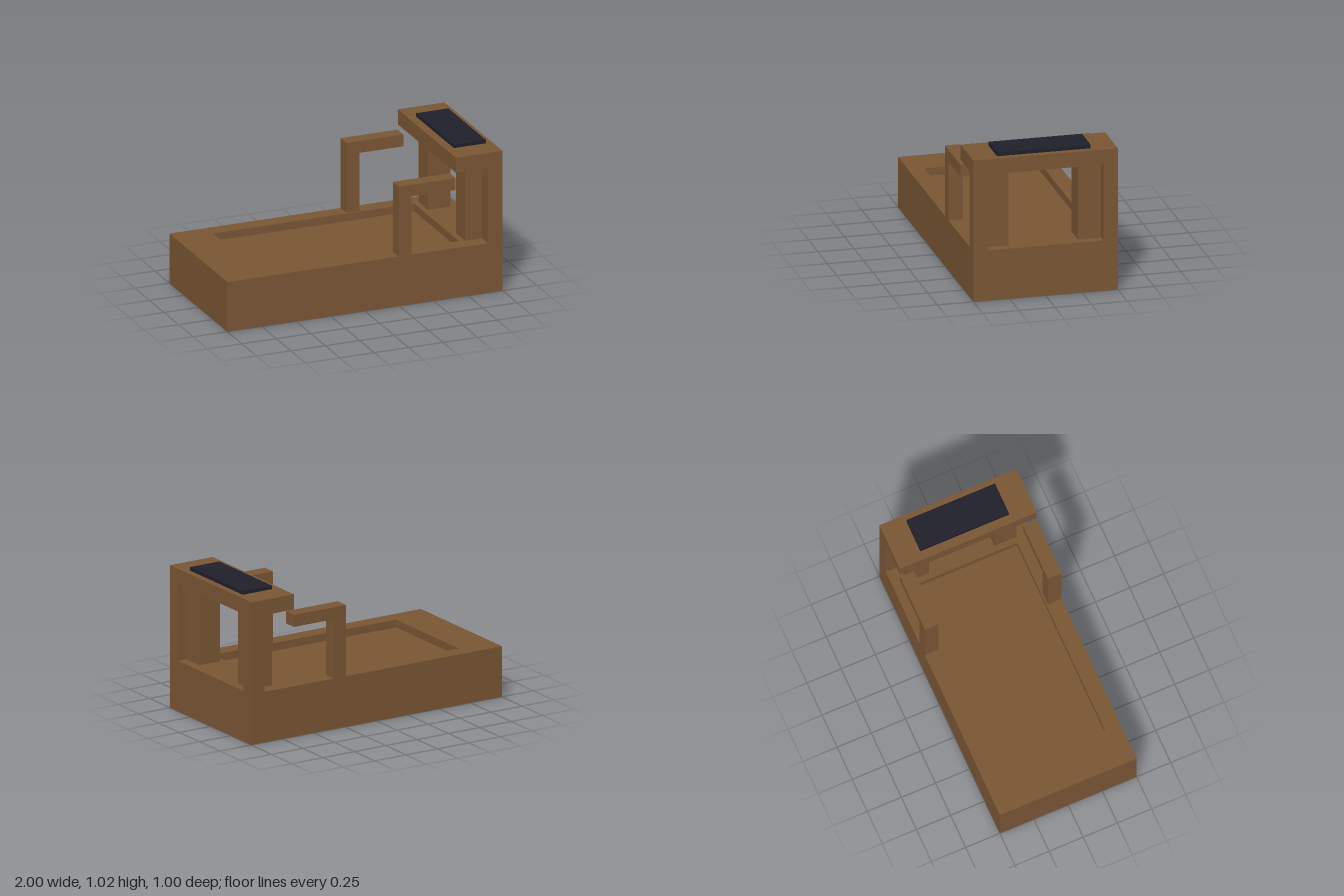
import * as THREE from 'three';

export function createModel() {
  const model = new THREE.Group();
  const wood = new THREE.MeshStandardMaterial({ color: 0x7b5735 });
  wood.name = 'brown wood';
  const pad = new THREE.MeshStandardMaterial({ color: 0x20202c });
  pad.name = 'dark pad';

  // Box given by its limits on each axis
  function block(name, [x0, x1], [y0, y1], [z0, z1], material = wood) {
    const mesh = new THREE.Mesh(new THREE.BoxGeometry(x1 - x0, y1 - y0, z1 - z0), material);
    mesh.position.set((x0 + x1) / 2, (y0 + y1) / 2, (z0 + z1) / 2);
    mesh.name = name;
    model.add(mesh);
  }
  // Same block on both sides of the model
  function sidePair(name, x, y, [z0, z1]) {
    block(name + 'Front', x, y, [z0, z1]);
    block(name + 'Back', x, y, [-z1, -z0]);
  }

  const deck = 0.355, inner = 0.388, sheet = 0.01;

  // Base: solid side rails, open underneath
  sidePair('sideRail', [-1, 1], [0, deck], [inner, 0.5]);
  for (const s of [-1, 1]) {
    const span = (a, b) => (s > 0 ? [a, b] : [-b, -a]);
    const end = s > 0 ? 'Left' : 'Right';
    block('endPanel' + end, span(1 - sheet, 1), [0, deck], [-inner, inner]);
    block('innerWall' + end, span(0.73, 0.73 + sheet), [0, deck], [-inner, inner]);
    block('endDeck' + end, span(0.73 + sheet, 1 - sheet), [deck - sheet, deck], [-inner, inner]);
  }
  // Sunken floor between the end decks
  block('recessedFloor', [-0.73, 0.73], [0.216, 0.3], [-inner, inner]);

  // Tower: corner posts, inner posts and top shelf
  sidePair('cornerPost', [0.893, 1], [deck, 0.893], [0.4, 0.5]);
  sidePair('innerPost', [0.77, 0.935], [deck, 0.893], [0.24, 0.4]);
  block('topShelf', [0.66, 1], [0.893, 1], [-0.5, 0.5]);
  block('topPad', [0.72, 0.953], [1, 1.025], [-0.324, 0.324], pad);

  // Side arms: upright with a bar reaching towards the tower
  sidePair('armUpright', [0.245, 0.338], [deck, 0.77], [0.4, 0.5]);
  sidePair('armBar', [0.245, 0.658], [0.77, 0.855], [0.4, 0.5]);

  return model;
}
